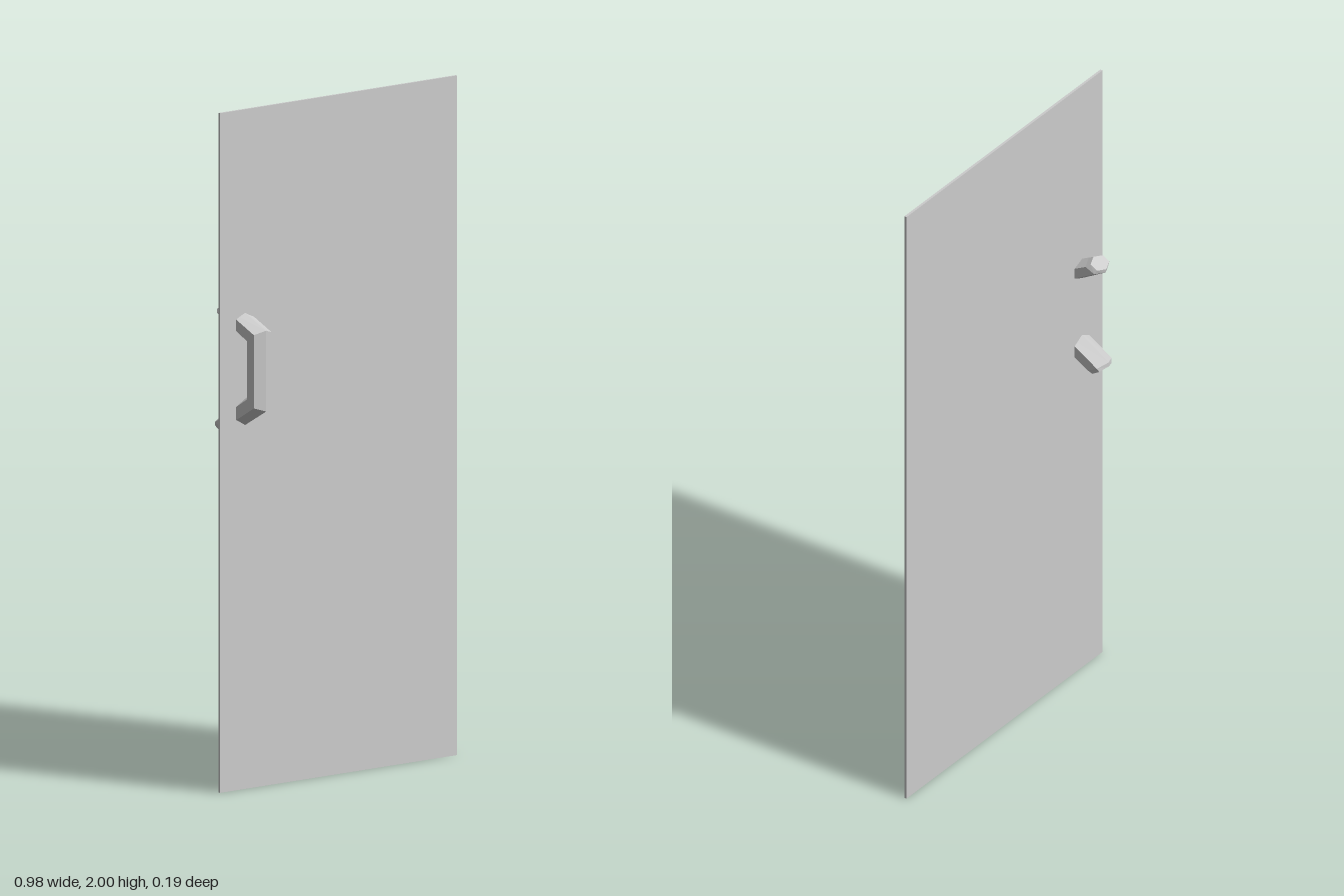
import * as THREE from 'three';

// Loft of hexagonal cross-sections; each ring is [outerZ, outerY, innerZ, innerY, half width]
function hexLoft(rings) {
  const hex = [[0, 0], [1, 0.25], [1, 0.75], [0, 1], [-1, 0.75], [-1, 0.25]];
  const points = rings.map(([oz, oy, iz, iy, w]) =>
    hex.map(([x, t]) => [x * w, oy + (iy - oy) * t, oz + (iz - oz) * t]));
  const pos = [];
  const tri = (a, b, c) => pos.push(...a, ...b, ...c);
  for (let r = 0; r < points.length - 1; r++) {
    for (let i = 0; i < 6; i++) {
      const j = (i + 1) % 6;
      const a = points[r][i], b = points[r][j], c = points[r + 1][j], d = points[r + 1][i];
      tri(a, d, c);
      tri(a, c, b);
    }
  }
  const first = points[0], last = points[points.length - 1];
  for (let i = 1; i < 5; i++) {
    tri(first[0], first[i], first[i + 1]);
    tri(last[0], last[i + 1], last[i]);
  }
  const geo = new THREE.BufferGeometry();
  geo.setAttribute('position', new THREE.Float32BufferAttribute(pos, 3));
  geo.computeVertexNormals();
  return geo;
}

export function createModel() {
  const model = new THREE.Group();
  model.name = 'door';
  const material = new THREE.MeshStandardMaterial({
    color: 0xcccccc, flatShading: true, side: THREE.DoubleSide,
  });

  // Thin door slab
  const panel = new THREE.Mesh(new THREE.BoxGeometry(0.98, 2, 0.008), material);
  panel.name = 'doorPanel';
  panel.position.set(0, 1, 0.003);
  model.add(panel);

  // Bent pull handle whose arms pass through the slab, with chamfered ends
  const w = 0.037;
  const handle = new THREE.Mesh(hexLoft([
    [-0.042, 1.427, -0.088, 1.401, 0.031],
    [-0.025, 1.417, -0.086, 1.389, w],
    [0.093, 1.358, 0.037, 1.316, w],
    [0.093, 1.12, 0.037, 1.167, w],
    [-0.033, 1.048, -0.096, 1.083, w],
    [-0.048, 1.039, -0.097, 1.07, 0.031],
  ]), material);
  handle.name = 'handle';
  handle.position.x = -0.387;
  model.add(handle);

  return model;
}
